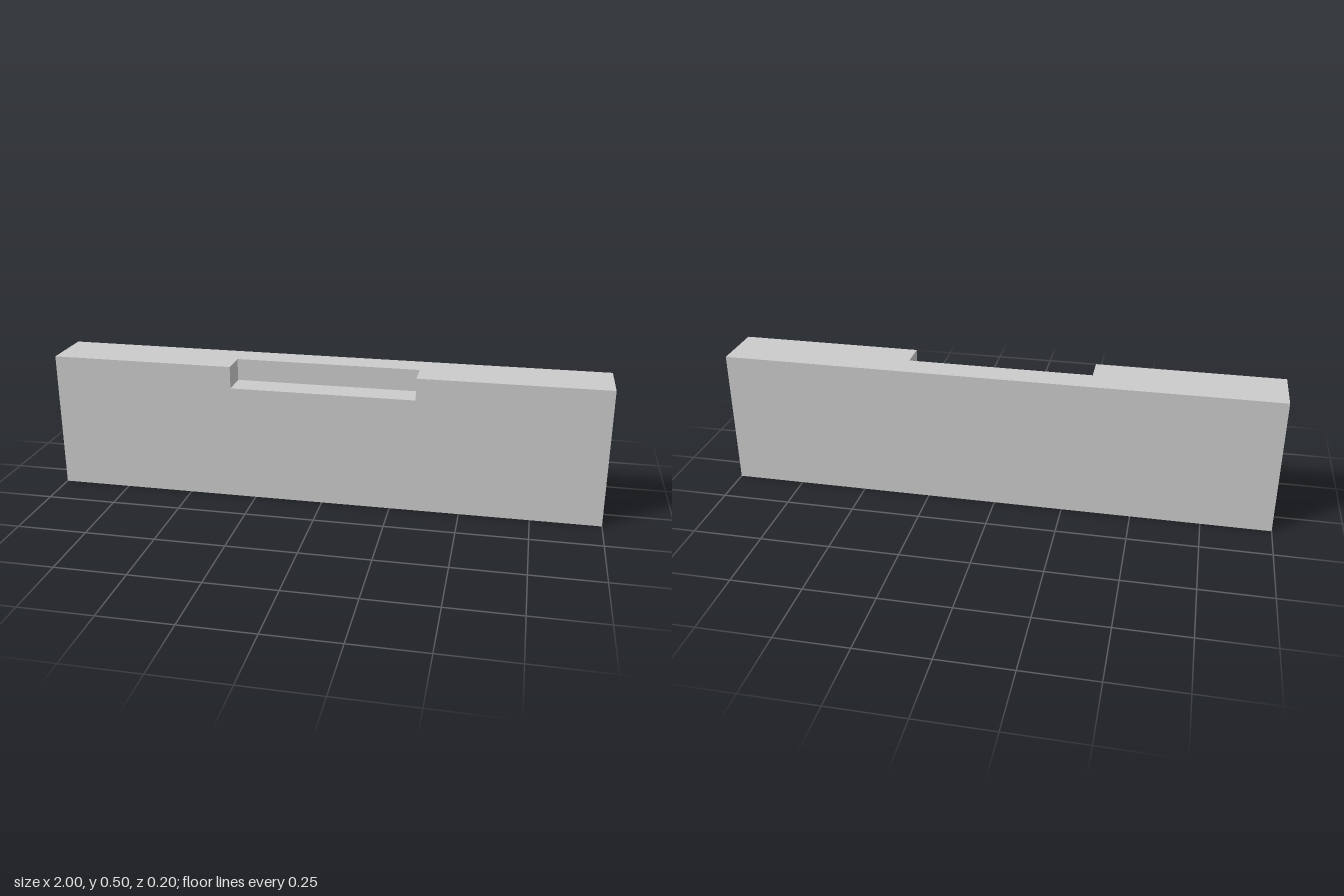
import * as THREE from 'three';
import { mergeGeometries } from 'three/addons/utils/BufferGeometryUtils.js';

const L = 1, H = 0.5, D = 0.1;          // half length, height, half depth
const N = 1 / 3, FLOOR = 0.42, WALL = 0; // notch half width, floor height, back wall z

// Flat panel from a 2D outline, turned and then moved into place
function panel(outline, rx, ry, x, y, z) {
  const shape = new THREE.Shape(outline.map(([u, v]) => new THREE.Vector2(u, v)));
  return new THREE.ShapeGeometry(shape).rotateX(rx).rotateY(ry).translate(x, y, z);
}

const rect = (u0, v0, u1, v1) => [[u0, v0], [u1, v0], [u1, v1], [u0, v1]];

export function createModel() {
  const q = Math.PI / 2;
  const group = new THREE.Group();
  group.name = 'notchedBlock';
  const material = new THREE.MeshStandardMaterial({ color: 0xcccccc });

  function add(name, panels) {
    const mesh = new THREE.Mesh(mergeGeometries(panels), material);
    mesh.name = name;
    group.add(mesh);
  }

  // Outer faces of the block; the front and top are cut by the notch
  const front = [[-L, 0], [L, 0], [L, H], [N, H], [N, FLOOR], [-N, FLOOR], [-N, H], [-L, H]];
  const top = [[-L, -D], [-N, -D], [-N, -WALL], [N, -WALL], [N, -D], [L, -D], [L, D], [-L, D]];
  add('block', [
    panel(front, 0, 0, 0, 0, D),
    panel(rect(-L, 0, L, H), 0, Math.PI, 0, 0, -D),
    panel(top, -q, 0, 0, H, 0),
    panel(rect(-L, -D, L, D), q, 0, 0, 0, 0),
    panel(rect(-D, 0, D, H), 0, q, L, 0, 0),
    panel(rect(-D, 0, D, H), 0, -q, -L, 0, 0),
  ]);

  // Inner faces of the notch: floor, back wall and two side walls
  add('notch', [
    panel(rect(-N, -D, N, -WALL), -q, 0, 0, FLOOR, 0),
    panel(rect(-N, FLOOR, N, H), 0, 0, 0, 0, WALL),
    panel(rect(-D, FLOOR, -WALL, H), 0, q, -N, 0, 0),
    panel(rect(WALL, FLOOR, D, H), 0, -q, N, 0, 0),
  ]);

  return group;
}
